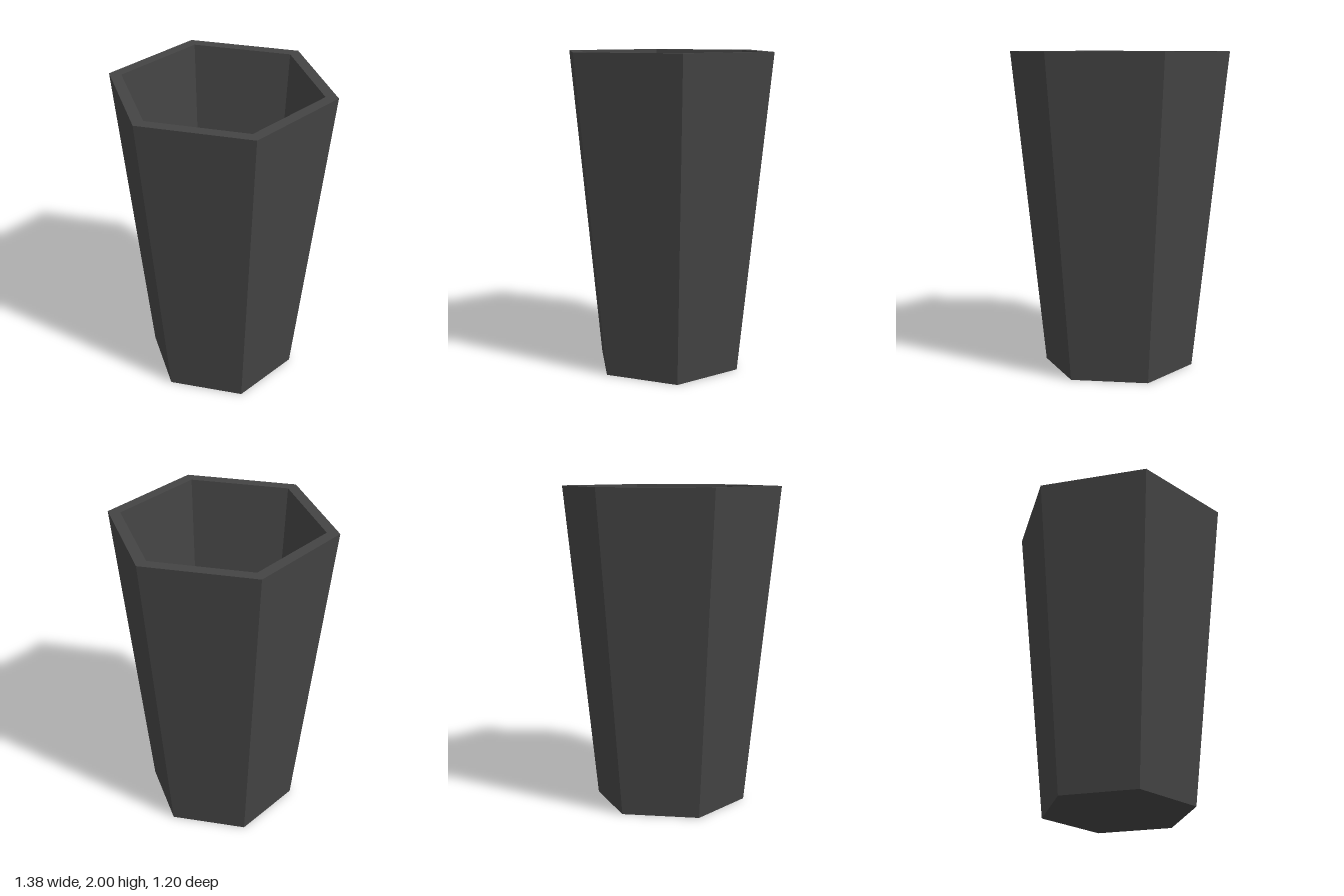
import * as THREE from 'three';

export function createModel() {
  const group = new THREE.Group();
  group.name = 'hexagonalPlanter';
  const charcoal = new THREE.MeshStandardMaterial({ color: 0x444444 });
  charcoal.name = 'charcoal';

  // Turn a profile into a flat-faced hexagonal part with corners on the x axis
  function hexPart(name, profile) {
    const points = profile.map(([r, y]) => new THREE.Vector2(r, y));
    const geometry = new THREE.LatheGeometry(points, 6, Math.PI / 2).toNonIndexed();
    geometry.computeVertexNormals();
    const mesh = new THREE.Mesh(geometry, charcoal);
    mesh.name = name;
    group.add(mesh);
  }

  // Underside and tapered outer walls
  hexPart('outerShell', [[0, 0], [0.477, 0], [0.69, 2]]);
  // Flat rim
  hexPart('rim', [[0.69, 2], [0.613, 2]]);
  // Inner walls and floor of the cavity
  hexPart('cavity', [[0.613, 2], [0.472, 0.04], [0, 0.04]]);

  return group;
}
